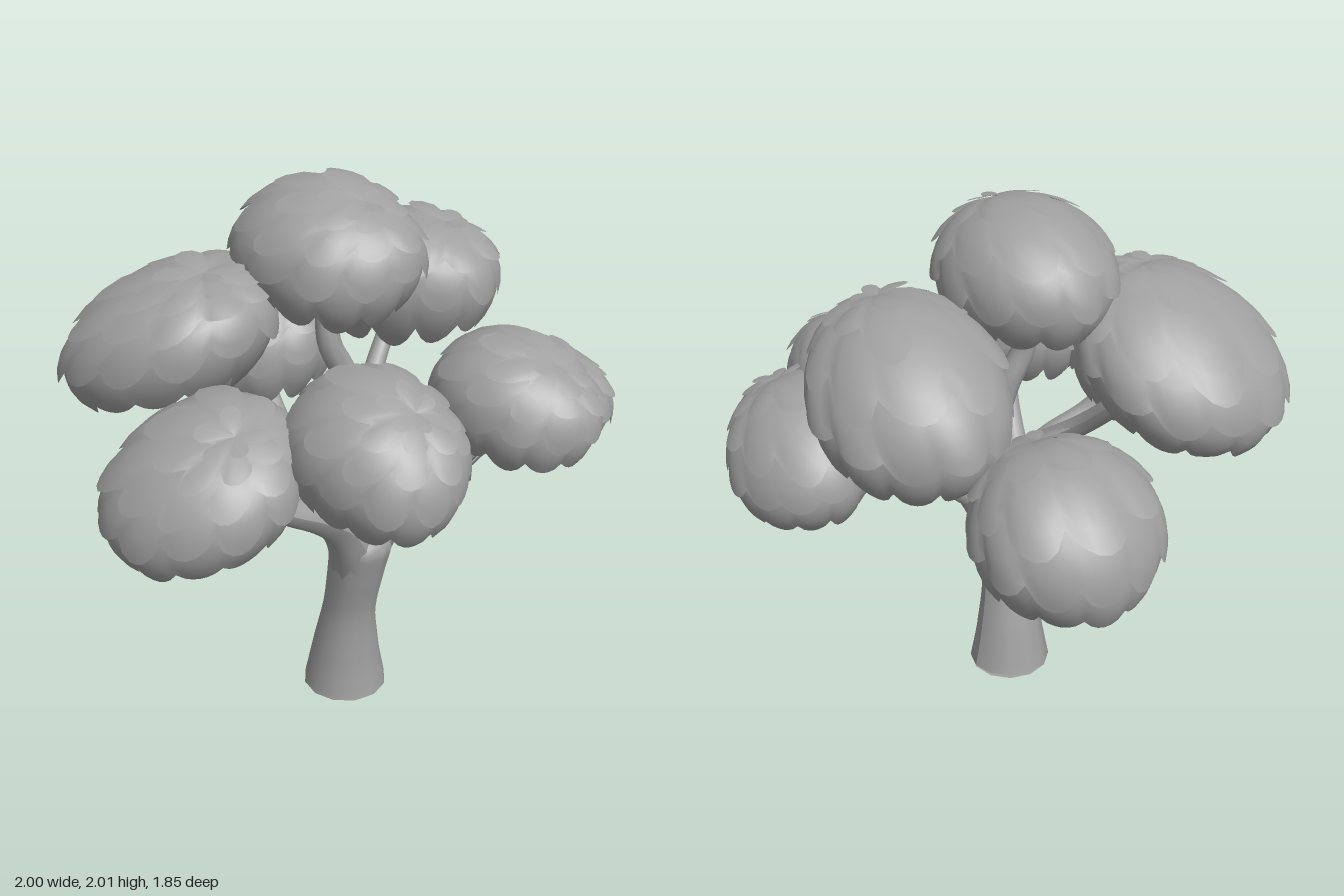
import * as THREE from 'three';
import { mergeGeometries } from 'three/addons/utils/BufferGeometryUtils.js';

const grey = new THREE.MeshStandardMaterial({ color: 0xa0a0a0, side: THREE.DoubleSide });
grey.name = 'grey';

function seeded(seed) {
  let s = seed * 7919 + 13;
  return () => (s = (s * 16807) % 2147483647) / 2147483647;
}

// Closed ring grid: at(row 0..1, column 0..1) gives a point
function ringGrid(rows, cols, at) {
  const pos = [], idx = [];
  for (let i = 0; i <= rows; i++)
    for (let j = 0; j < cols; j++) pos.push(...at(i / rows, j / cols).toArray());
  for (let i = 0; i < rows; i++)
    for (let j = 0; j < cols; j++) {
      const a = i * cols + j, b = i * cols + (j + 1) % cols;
      idx.push(a, b, a + cols, b, b + cols, a + cols);
    }
  const g = new THREE.BufferGeometry();
  g.setAttribute('position', new THREE.Float32BufferAttribute(pos, 3));
  g.setIndex(idx);
  g.computeVertexNormals();
  return g;
}

// Tapered tube through points [x, y, z, radius]
function limb(name, pts, sides = 10) {
  const steps = pts.length * 5;
  const curve = new THREE.CatmullRomCurve3(pts.map(p => new THREE.Vector3(p[0], p[1], p[2])));
  const radii = new THREE.CatmullRomCurve3(pts.map(p => new THREE.Vector3(p[3], 0, 0)));
  const g = new THREE.TubeGeometry(curve, steps, 1, sides);
  const p = g.attributes.position, n = g.attributes.normal, v = new THREE.Vector3();
  for (let i = 0; i <= steps; i++) {
    const t = curve.getUtoTmapping(i / steps);
    const c = curve.getPoint(t), r = radii.getPoint(t).x;
    for (let j = 0; j <= sides; j++) {
      const k = i * (sides + 1) + j;
      v.fromBufferAttribute(n, k).multiplyScalar(r).add(c);
      p.setXYZ(k, v.x, Math.max(0, v.y), v.z);
    }
  }
  g.computeVertexNormals();
  const mesh = new THREE.Mesh(g, grey);
  mesh.name = name;
  return mesh;
}

// Dome of overlapping scalloped leaf skirts; crown leans to the front, tilt slopes the whole dome
function leafDome(name, center, radius, [tiltX, tiltZ], seed) {
  const rand = seeded(seed);
  const c = new THREE.Vector3(...center), r = new THREE.Vector3(...radius);
  const place = p => {
    p.multiply(r);
    p.y += tiltX * p.x + tiltZ * p.z;
    return p.add(c);
  };
  const unit = (deg, turn, scale) => {
    const phi = deg * Math.PI / 180, th = turn * Math.PI * 2;
    const lean = 0.6 * Math.max(0, Math.cos(phi));
    const lumps = 1 + 0.03 * Math.sin(phi) * Math.sin(3 * th + seed) * Math.cos(2 * phi + seed);
    return new THREE.Vector3(Math.sin(phi) * Math.cos(th), Math.cos(phi), Math.sin(phi) * Math.sin(th) + lean)
      .normalize().multiplyScalar(scale * lumps);
  };
  const ends = [14, 34, 60, 88, 120], petals = [6, 8, 10, 12, 12], per = 6;
  const parts = ends.map((end, k) => {
    const count = petals[k], start = k ? ends[k - 1] - 9 : 0, offset = rand();
    const size = Array.from({ length: count }, () => [6 + 13 * rand(), 0.06 * rand()]);
    return ringGrid(5, count * per, (t, u) => {
      const q = u * count, i = Math.floor(q + 1e-6) % count;
      const bulge = Math.pow(Math.max(0, Math.sin(Math.PI * (q - Math.floor(q + 1e-6)))), 0.75);
      const deg = start + t * (end - start + size[i][0] * bulge);
      const scale = 0.95 + t * 0.035 + t * bulge * (0.01 + size[i][1]);
      return place(unit(deg, u + offset / count, scale));
    });
  });
  // Bumpy underside, slightly hollow
  const bumps = Array.from({ length: 24 }, () => rand() - 0.5);
  parts.push(ringGrid(5, 24, (t, u) => {
    const p = unit(117, u, 0.95);
    const bump = bumps[Math.round(u * 24) % 24] * 0.25 * Math.sin(Math.PI * t);
    return place(new THREE.Vector3(p.x * (1 - t), -0.43 + 0.22 * Math.sin(t * Math.PI / 2) + bump, p.z * (1 - t)));
  }));
  const mesh = new THREE.Mesh(mergeGeometries(parts), grey);
  mesh.name = name;
  return mesh;
}

export function createModel() {
  const tree = new THREE.Group();
  tree.name = 'tree';

  // Trunk leaning forward, with its flat base
  tree.add(limb('trunk', [
    [0.025, 0, 0.155, 0.16], [0.018, 0.15, 0.165, 0.132], [0.005, 0.4, 0.2, 0.1],
    [0, 0.58, 0.235, 0.108], [0, 0.68, 0.25, 0.118], [0, 0.76, 0.26, 0.05]], 12));
  const base = new THREE.Mesh(new THREE.CircleGeometry(0.16, 12), grey);
  base.name = 'trunkBase';
  base.rotation.x = Math.PI / 2;
  base.position.set(0.025, 0.001, 0.155);
  tree.add(base);

  // Main limbs and side branches
  const limbs = {
    leftLimb: [[0.01, 0.48, 0.22, 0.07], [0.045, 0.66, 0.25, 0.088], [0.11, 0.78, 0.29, 0.075], [0.2, 0.88, 0.34, 0.058], [0.31, 0.99, 0.44, 0.048], [0.4, 1.17, 0.56, 0.035]],
    leftOuterBranch: [[0.07, 0.72, 0.26, 0.065], [0.22, 0.82, 0.31, 0.045], [0.4, 0.86, 0.34, 0.038], [0.52, 0.94, 0.38, 0.034], [0.73, 1.0, 0.42, 0.028]],
    rightLimb: [[-0.01, 0.48, 0.22, 0.07], [-0.045, 0.66, 0.25, 0.088], [-0.12, 0.79, 0.27, 0.075], [-0.24, 0.88, 0.28, 0.058], [-0.4, 0.97, 0.25, 0.047], [-0.5, 1.08, 0.21, 0.036], [-0.6, 1.15, 0.19, 0.03]],
    rightFrontBranch: [[-0.11, 0.82, 0.29, 0.05], [-0.14, 0.92, 0.38, 0.042], [-0.17, 1.03, 0.46, 0.038], [-0.25, 1.19, 0.57, 0.03]],
    rightBackBranch: [[-0.22, 0.88, 0.28, 0.045], [-0.29, 1.0, 0.13, 0.042], [-0.34, 1.2, -0.08, 0.038], [-0.41, 1.42, -0.25, 0.03]],
    middleLimb: [[0, 0.62, 0.235, 0.08], [0.05, 0.88, 0.2, 0.062], [0.085, 1.1, 0.15, 0.054], [0.04, 1.29, 0.12, 0.048], [-0.02, 1.43, 0.1, 0.043], [0.01, 1.68, 0.07, 0.036]],
    leftUpperBranch: [[0.07, 0.95, 0.19, 0.045], [0.18, 1.09, 0.08, 0.04], [0.33, 1.22, 0, 0.036], [0.5, 1.4, -0.06, 0.03]],
    backLimb: [[0.01, 0.62, 0.23, 0.07], [0.05, 0.75, 0.08, 0.06], [0.11, 0.81, -0.12, 0.048], [0.19, 0.86, -0.38, 0.043], [0.24, 0.97, -0.52, 0.038], [0.27, 1.13, -0.6, 0.03]],
  };
  for (const [name, pts] of Object.entries(limbs)) tree.add(limb(name, pts));

  // Leaf domes: centre, radii, tilt
  const domes = {
    topLeaves: [[0.005, 1.735, 0.06], [0.305, 0.26, 0.365], [0, 0]],
    leftUpperLeaves: [[0.53, 1.47, -0.06], [0.325, 0.285, 0.395], [-0.08, 0.2]],
    rightUpperLeaves: [[-0.415, 1.445, -0.275], [0.37, 0.275, 0.395], [0.12, 0.28]],
    backLeaves: [[0.27, 1.15, -0.605], [0.32, 0.285, 0.325], [0, 0.1]],
    rightFrontLeaves: [[-0.285, 1.265, 0.59], [0.275, 0.26, 0.325], [0.05, -0.1]],
    rightLeaves: [[-0.66, 1.135, 0.18], [0.335, 0.265, 0.34], [0.25, 0.08]],
    leftFrontLeaves: [[0.41, 1.235, 0.59], [0.26, 0.235, 0.325], [0, -0.08]],
    leftLeaves: [[0.735, 1.08, 0.42], [0.26, 0.245, 0.325], [-0.22, 0.1]],
  };
  Object.entries(domes).forEach(([name, [c, r, tilt]], i) => tree.add(leafDome(name, c, r, tilt, i + 1)));
  return tree;
}
